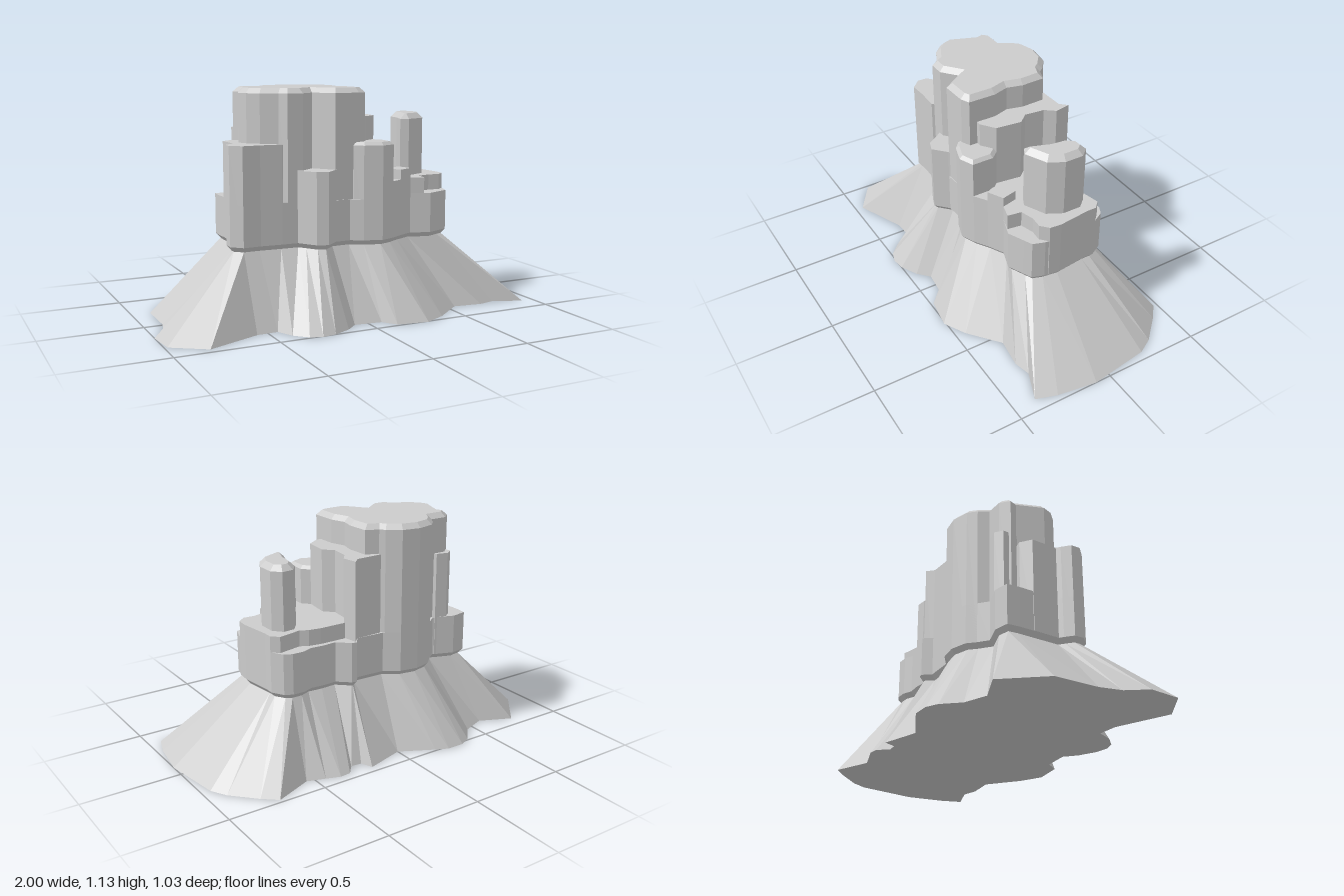
import * as THREE from 'three';

const material = new THREE.MeshStandardMaterial({ color: 0xcccccc, flatShading: true });

// Outlines are [x, z] loops running left, back, right, front
const foot = [
  [-.905, -.015], [-.905, -.24], [-.745, -.435], [-.58, -.36], [-.46, -.405], [-.385, -.49], [-.325, -.52],
  [-.235, -.52], [-.17, -.49], [0, -.4], [.2, -.46], [.225, -.4], [.28, -.395], [.325, -.45], [.38, -.455],
  [.45, -.43], [.54, -.4], [.73, -.48], [.8, -.42], [.91, -.305], [.955, -.225], [1, .08], [.97, .28],
  [.935, .385], [.785, .325], [.7, .345], [.55, .325], [.395, .45], [.28, .51], [.12, .485], [.07, .415],
  [-.07, .4], [-.13, .455], [-.22, .5], [-.29, .51], [-.35, .49], [-.41, .43], [-.45, .345], [-.555, .35],
  [-.82, .46], [-.985, .35], [-1, .19], [-.93, .095],
];
const wall = [
  [-.55, .05], [-.555, -.17], [-.55, -.235], [-.47, -.25], [-.36, -.21], [-.31, -.25], [-.27, -.29],
  [-.18, -.315], [-.085, -.3], [-.01, -.25], [.14, -.245], [.175, -.29], [.2, -.285], [.26, -.23], [.33, -.235],
  [.4, -.23], [.45, -.25], [.51, -.25], [.55, -.23], [.585, -.17], [.585, -.12], [.605, .04], [.595, .12],
  [.575, .18], [.53, .2], [.45, .235], [.35, .2], [.27, .24], [.205, .28], [.13, .31], [.04, .28],
  [-.02, .245], [-.1, .25], [-.165, .31], [-.22, .29], [-.26, .23], [-.28, .2], [-.36, .2], [-.47, .195],
  [-.56, .2], [-.61, .15], [-.61, .1], [-.57, .065],
];

// Moves an outline inward by d with mitred corners
function inset(loop, d) {
  const n = loop.length;
  const normal = (a, b) => new THREE.Vector2(a[1] - b[1], b[0] - a[0]).normalize();
  return loop.map((p, i) => {
    const n1 = normal(loop[(i + n - 1) % n], p);
    const m = n1.clone().add(normal(p, loop[(i + 1) % n])).normalize();
    m.multiplyScalar(d / Math.max(.65, m.dot(n1)));
    return [p[0] + m.x, p[1] + m.y];
  });
}

// Solid through a stack of [outline, height] rings, capped at both ends
function loft(name, rings) {
  const pos = [];
  const put = ([x, z], y) => pos.push(x, y, z);
  for (let r = 0; r + 1 < rings.length; r++) {
    const [a, ya] = rings[r], [b, yb] = rings[r + 1];
    a.forEach((p, i) => {
      const j = (i + 1) % a.length;
      put(p, ya); put(b[i], yb); put(b[j], yb);
      put(p, ya); put(b[j], yb); put(a[j], ya);
    });
  }
  const cap = ([loop, y], up) => {
    const pts = loop.map(([x, z]) => new THREE.Vector2(x, z));
    for (const t of THREE.ShapeUtils.triangulateShape(pts, [])) {
      const facesUp = THREE.ShapeUtils.area(t.map(i => pts[i])) < 0;
      (facesUp === up ? t : [...t].reverse()).forEach(i => put(loop[i], y));
    }
  };
  cap(rings[0], false);
  cap(rings[rings.length - 1], true);
  const geometry = new THREE.BufferGeometry();
  geometry.setAttribute('position', new THREE.Float32BufferAttribute(pos, 3));
  geometry.computeVertexNormals();
  const mesh = new THREE.Mesh(geometry, material);
  mesh.name = name;
  return mesh;
}

// Upright rock column, with an optional chamfered rim
function column(name, loop, top, chamfer = 0) {
  const area = THREE.ShapeUtils.area(loop.map(([x, z]) => new THREE.Vector2(x, z)));
  const o = area < 0 ? [...loop].reverse() : loop;
  const rings = [[o, .385], [o, top - chamfer]];
  if (chamfer) rings.push([inset(o, chamfer), top]);
  return loft(name, rings);
}

export function createModel() {
  const model = new THREE.Group();
  model.name = 'rockMesa';
  const neck = inset(wall, .02);

  model.add(
    // Sloping skirt and the low cliff with its undercut
    loft('slopingSkirt', [[foot, 0], [neck, .36]]),
    loft('lowerCliff', [[neck, .36], [wall, .385], [wall, .59]]),

    column('mainTower', [
      [-.51, .015], [-.46, -.12], [-.475, -.16], [-.43, -.2], [-.34, -.2], [-.31, -.25], [-.27, -.29],
      [-.18, -.315], [-.085, -.3], [-.02, -.25], [0, -.225], [.065, -.2], [.07, -.08], [.05, 0], [.075, .08],
      [.075, .22], [.03, .24], [-.1, .245], [-.175, .14], [-.25, .2], [-.33, .2], [-.36, .16], [-.44, .12],
      [-.49, .07]], 1.135, .025),

    column('leftShoulder', [
      [-.38, -.1], [-.5, -.13], [-.555, -.09], [-.55, .05], [-.57, .065], [-.61, .1], [-.61, .15], [-.56, .2],
      [-.47, .195], [-.36, .2], [-.3, .1]], .87),

    column('backFlute', [[-.47, -.2], [-.43, -.23], [-.37, -.215], [-.34, -.15], [-.46, -.11]], .93),

    column('frontLedge', [
      [-.28, .1], [-.28, .2], [-.26, .23], [-.22, .29], [-.165, .31], [-.1, .25], [-.06, .22], [-.1, .1]], .74),

    column('frontPillar', [
      [0, .1], [.15, .1], [.17, .13], [.205, .17], [.205, .28], [.13, .31], [.04, .28], [0, .245]], .87, .016),

    column('rightShoulder', [
      [0, -.24], [.14, -.245], [.175, -.28], [.19, -.2], [.15, -.15], [.14, -.05], [.185, 0], [.17, .13],
      [.1, .18], [0, .18]], .99),

    column('rightPlateau', [
      [.1, -.2], [.2, -.21], [.33, -.21], [.39, -.2], [.43, -.18], [.55, -.205], [.585, -.17], [.585, -.12],
      [.605, .04], [.6, .1], [.56, .135], [.5, .13], [.43, .15], [.42, .22], [.35, .2], [.27, .24],
      [.205, .28], [.13, .31], [.05, .2]], .67),

    column('plateauBlock', [[.26, .13], [.33, .12], [.35, .2], [.27, .24], [.25, .2]], .72),

    column('spire', [
      [.35, .09], [.39, -.02], [.4, -.1], [.44, -.15], [.5, -.155], [.54, -.11], [.54, -.015], [.5, .06],
      [.39, .11]], .99, .027),
  );
  return model;
}
